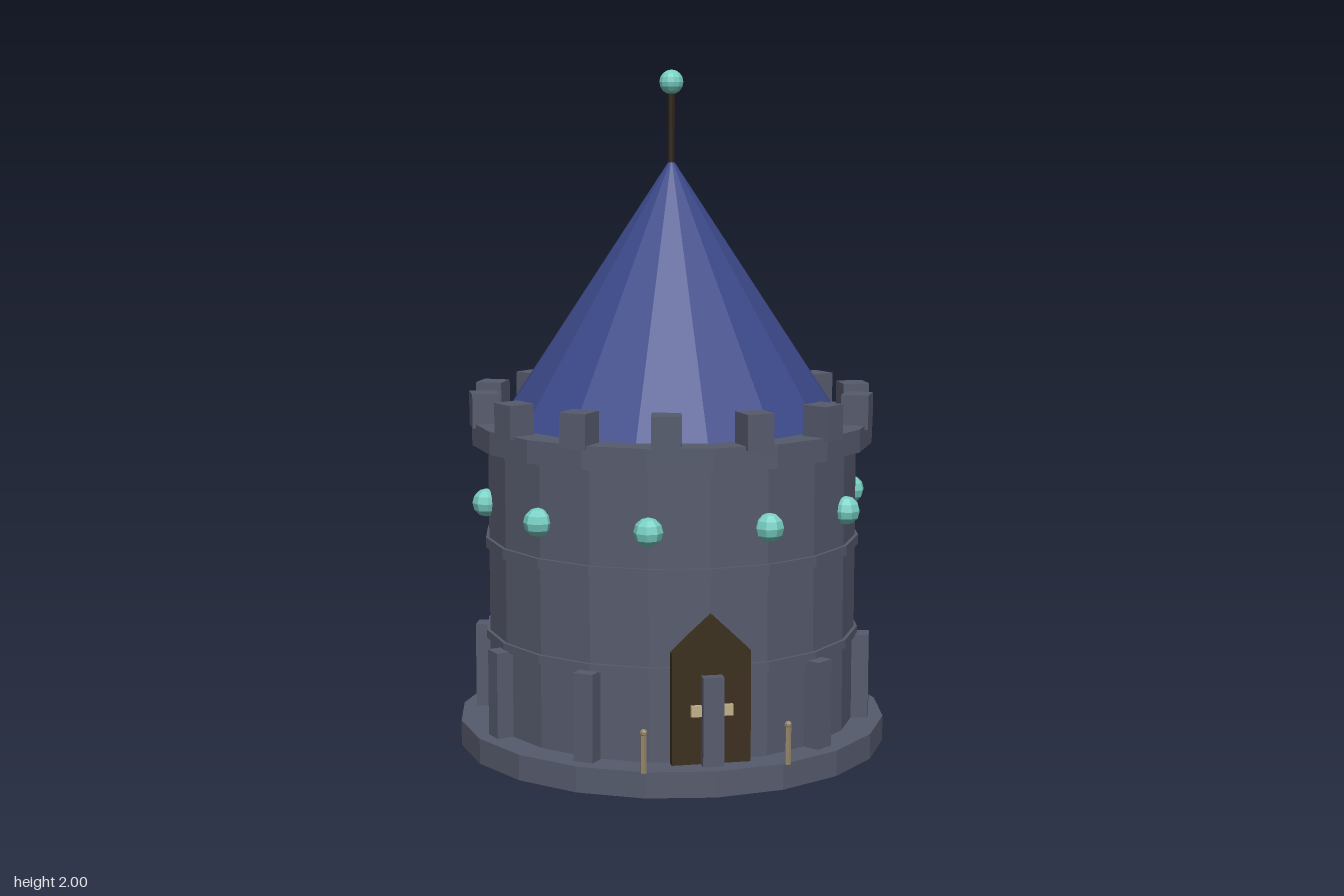
import * as THREE from 'three';

export function createModel() {
  const tower = new THREE.Group();
  tower.name = 'tower';

  const material = (name, color) => {
    const m = new THREE.MeshStandardMaterial({ color, flatShading: true });
    m.name = name;
    return m;
  };
  const stone = material('stone', 0x565b6d);
  const roofBlue = material('roofBlue', 0x3c498a);
  const gemTeal = material('gemTeal', 0x78cfc4);
  const doorWood = material('doorWood', 0x3c2f1e);
  const poleBrown = material('poleBrown', 0x2f251d);
  const brass = material('brass', 0xc2b28a);
  const postTan = material('postTan', 0x95866a);

  const add = (name, geometry, mat, x = 0, y = 0, z = 0) => {
    const mesh = new THREE.Mesh(geometry, mat);
    mesh.name = name;
    mesh.position.set(x, y, z);
    tower.add(mesh);
    return mesh;
  };

  // Upright drum between two heights
  const drum = (name, radius, y0, y1, mat = stone, sides = 20) =>
    add(name, new THREE.CylinderGeometry(radius, radius, y1 - y0, sides), mat, 0, (y0 + y1) / 2, 0);

  // Copies around the axis, each turned to face outward; start is measured from +z
  const ring = (name, geometry, mat, count, radius, y, start) => {
    for (let i = 0; i < count; i++) {
      const a = start + (i / count) * Math.PI * 2;
      add(name, geometry, mat, Math.sin(a) * radius, y, Math.cos(a) * radius).rotation.y = a;
    }
  };

  // Stone drums
  drum('base', 0.64, 0, 0.075);
  drum('wall', 0.55, 0.07, 0.92);
  drum('lowerBand', 0.56, 0.325, 0.35);
  drum('upperBand', 0.56, 0.6, 0.63);
  drum('cornice', 0.597, 0.908, 0.975);

  // Repeated stonework and gems
  ring('buttress', new THREE.BoxGeometry(0.06, 0.26, 0.06), stone, 10, 0.566, 0.2, 0);
  ring('merlon', new THREE.BoxGeometry(0.082, 0.1, 0.08), stone, 14, 0.56, 1.014, Math.PI / 2);
  ring('gem', new THREE.SphereGeometry(0.042, 8, 6), gemTeal, 10, 0.557, 0.735, Math.PI / 10);

  // Roof, pole and finial
  add('roof', new THREE.ConeGeometry(0.515, 0.775, 16), roofBlue, 0, 1.3575, 0);
  drum('pole', 0.01, 1.72, 1.95, poleBrown, 8);
  add('finial', new THREE.SphereGeometry(0.036, 12, 8), gemTeal, 0, 1.964, 0);

  // Pointed door
  const outline = new THREE.Shape([
    new THREE.Vector2(-0.113, -0.001),
    new THREE.Vector2(0.113, -0.001),
    new THREE.Vector2(0.113, 0.395),
    new THREE.Vector2(0, 0.503),
    new THREE.Vector2(-0.113, 0.395),
  ]);
  add('door', new THREE.ExtrudeGeometry(outline, { depth: 0.025, bevelEnabled: false }), doorWood, 0, 0, 0.54);

  // Door handles and the two small posts beside the entrance
  for (const side of [-1, 1]) {
    add('doorHandle', new THREE.BoxGeometry(0.03, 0.032, 0.012), brass, side * 0.045, 0.23, 0.57);
    add('post', new THREE.CylinderGeometry(0.009, 0.009, 0.115, 6), postTan, side * 0.205, 0.1375, 0.628);
    add('postCap', new THREE.SphereGeometry(0.011, 6, 5), postTan, side * 0.205, 0.194, 0.628);
  }

  return tower;
}
